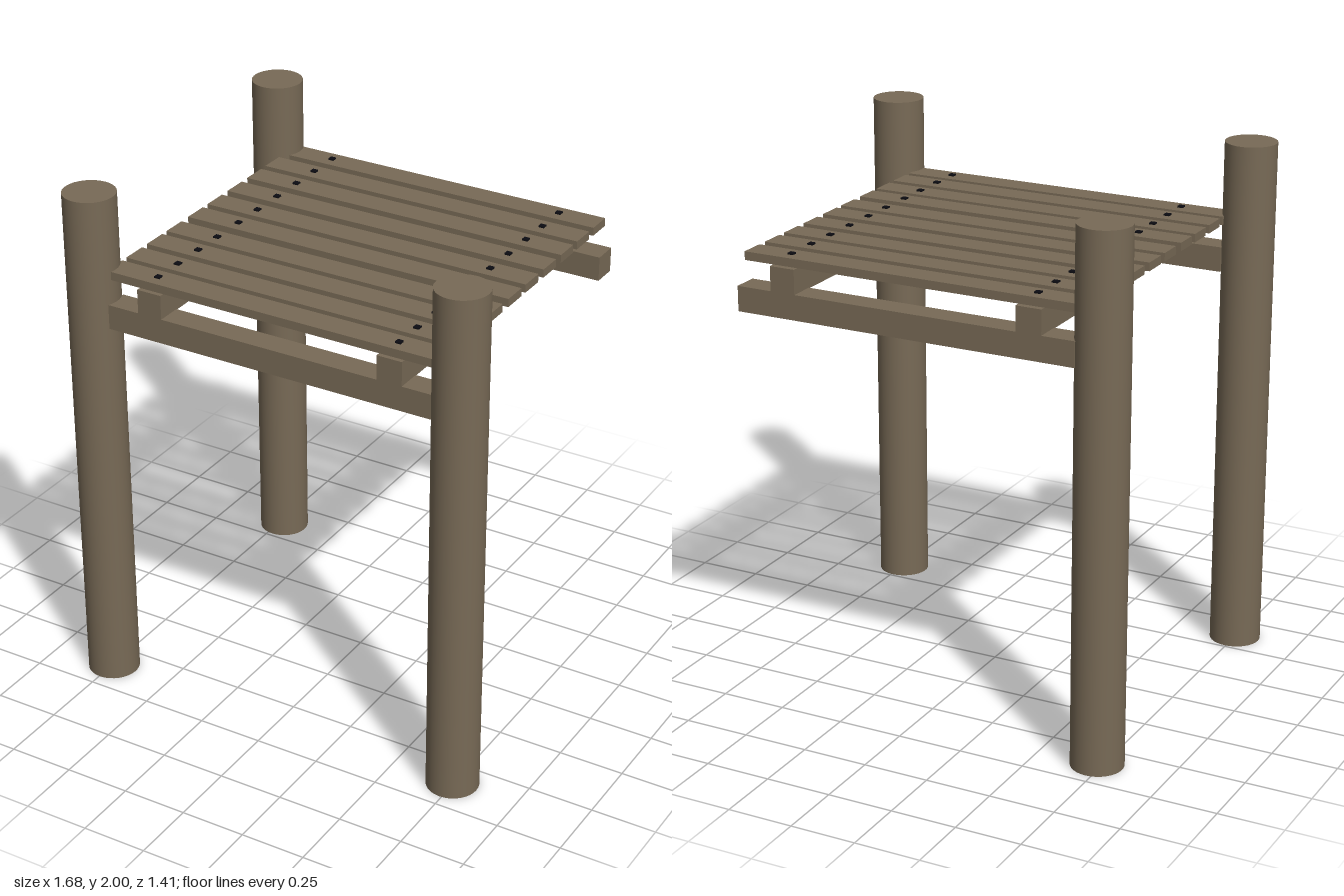
import * as THREE from 'three';

export function createModel() {
  const model = new THREE.Group();
  model.name = 'timberPlatform';
  const wood = new THREE.MeshStandardMaterial({ color: 0x786a56 });
  wood.name = 'weathered wood';
  const iron = new THREE.MeshStandardMaterial({ color: 0x0c0c12 });
  iron.name = 'black iron';

  // Box given by its lower and upper limits on each axis
  const addBox = (name, [x0, x1], [y0, y1], [z0, z1], material = wood) => {
    const mesh = new THREE.Mesh(new THREE.BoxGeometry(x1 - x0, y1 - y0, z1 - z0), material);
    mesh.position.set((x0 + x1) / 2, (y0 + y1) / 2, (z0 + z1) / 2);
    mesh.name = name;
    model.add(mesh);
  };

  // Three round posts; the back left corner has none
  const postGeometry = new THREE.CylinderGeometry(0.098, 0.098, 2, 32);
  const posts = { frontRightPost: [-0.747, 0.607], frontLeftPost: [0.742, 0.607], backRightPost: [-0.729, -0.612] };
  for (const [name, [x, z]] of Object.entries(posts)) {
    const post = new THREE.Mesh(postGeometry, wood);
    post.position.set(x, 1, z);
    post.name = name;
    model.add(post);
  }

  // Cross beams between the posts
  addBox('frontBeam', [-0.66, 0.655], [1.5, 1.595], [0.552, 0.648]);
  addBox('backBeam', [-0.655, 0.678], [1.5, 1.595], [-0.68, -0.582]);

  // Joists resting on the beams
  addBox('rightJoist', [-0.53, -0.432], [1.592, 1.688], [-0.68, 0.648]);
  addBox('leftJoist', [0.442, 0.54], [1.592, 1.688], [-0.68, 0.648]);

  // Deck slats, each with a nail over both joists
  const slatZ = [-0.609, -0.475, -0.345, -0.208, -0.07, 0.06, 0.202, 0.328, 0.458, 0.582];
  for (const z of slatZ) {
    addBox('slat', [-0.672, 0.658], [1.688, 1.72], [z - 0.049, z + 0.049]);
    for (const x of [-0.483, 0.492]) {
      addBox('nail', [x - 0.011, x + 0.011], [1.71, 1.726], [z - 0.011, z + 0.011], iron);
    }
  }
  return model;
}
